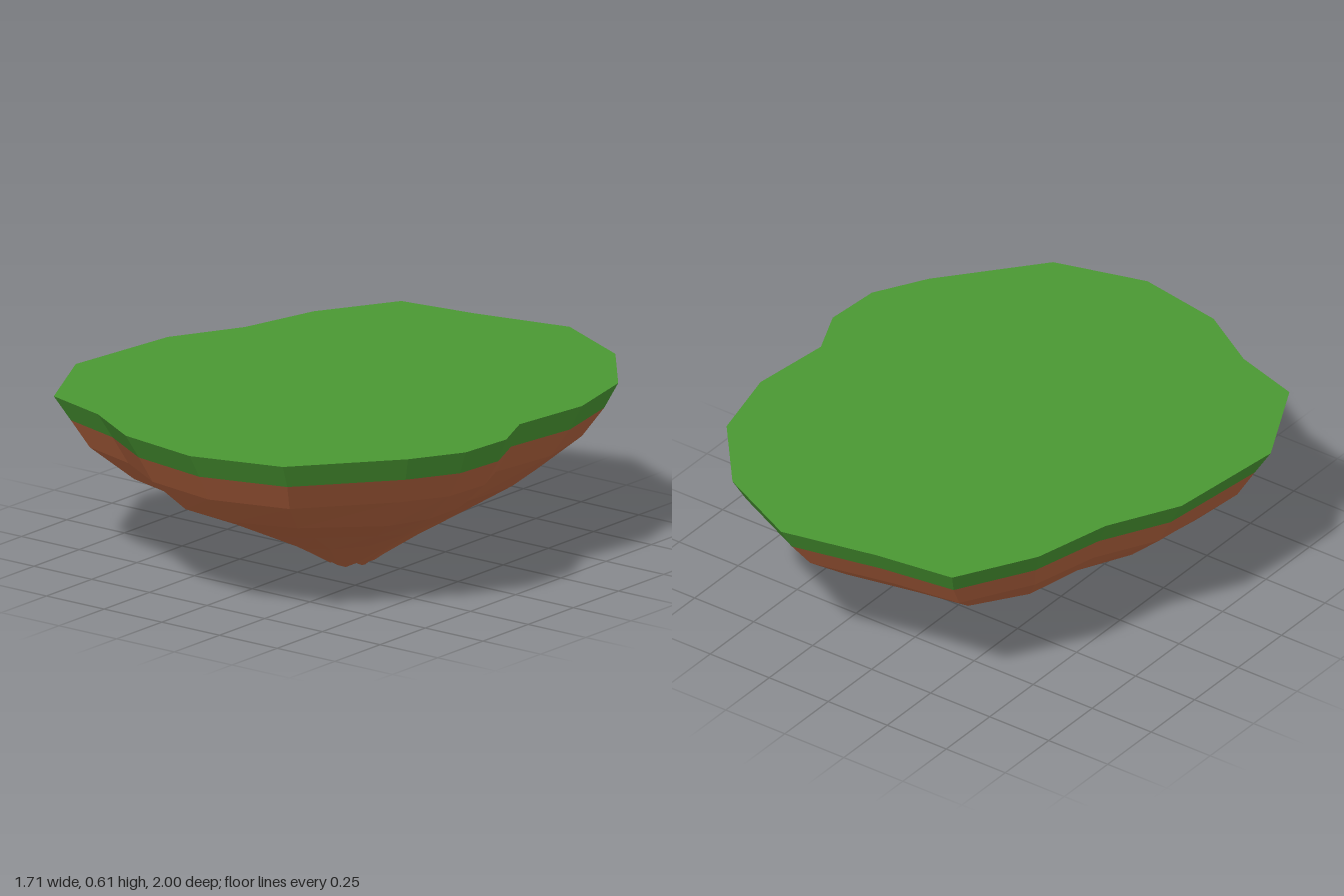
import * as THREE from 'three';

// Coastline corners (x, z), running clockwise as seen from above
const OUTLINE = [
  [0.2, -1], [0.52, -0.845], [0.74, -0.58], [0.81, -0.29], [0.775, 0.01],
  [0.85, 0.18], [0.835, 0.385], [0.73, 0.57], [0.45, 0.905], [0.12, 1],
  [-0.2, 0.945], [-0.43, 0.805], [-0.68, 0.73], [-0.855, 0.385], [-0.805, -0.06],
  [-0.67, -0.315], [-0.6, -0.605], [-0.44, -0.885], [-0.15, -0.925],
];

// Horizontal slices from top to tip: height, scale, centre x, centre z
const LEVELS = [
  [0.617, 1, 0, 0],
  [0.53, 0.945, 0.005, 0],
  [0.43, 0.872, 0, 0.005],
  [0.31, 0.715, 0, 0.01],
  [0.215, 0.5, 0.02, 0.015],
  [0.12, 0.29, 0.04, 0.02],
  [0.008, 0.085, 0.055, 0.025],
];

const ring = ([y, s, cx, cz], level) => OUTLINE.map(([x, z], i) => {
  // slight unevenness on the lower rock only
  const wobble = level > 2 ? 0.007 * Math.sin(i * 2.1 + level) : 0;
  return [cx + x * s, y + wobble, cz + z * s];
});

// Closed band of quads through successive rings, with optional cap centres
function shell(rings, topCentre, bottomCentre) {
  const pos = [];
  const tri = (...corners) => corners.forEach((p) => pos.push(...p));
  const n = OUTLINE.length;
  for (let i = 0; i < n; i++) {
    const j = (i + 1) % n;
    for (let k = 0; k < rings.length - 1; k++) {
      const up = rings[k], low = rings[k + 1];
      tri(up[i], up[j], low[j]);
      tri(up[i], low[j], low[i]);
    }
    if (topCentre) tri(topCentre, rings[0][j], rings[0][i]);
    if (bottomCentre) tri(bottomCentre, rings.at(-1)[i], rings.at(-1)[j]);
  }
  const geometry = new THREE.BufferGeometry();
  geometry.setAttribute('position', new THREE.Float32BufferAttribute(pos, 3));
  geometry.computeVertexNormals();
  return geometry;
}

export function createModel() {
  const group = new THREE.Group();
  group.name = 'floatingIsland';
  const rings = LEVELS.map(ring);
  const add = (name, geometry, color) => {
    const mesh = new THREE.Mesh(geometry, new THREE.MeshStandardMaterial({ color, flatShading: true }));
    mesh.name = name;
    group.add(mesh);
  };

  // Flat grass top with its sloping rim
  add('grass', shell(rings.slice(0, 2), [0, LEVELS[0][0], 0], null), 0x4a9833);
  // Faceted earth tapering to a small, slightly hollow tip
  add('earth', shell(rings.slice(1), null, [0.055, 0.018, 0.025]), 0xb5643f);
  return group;
}
